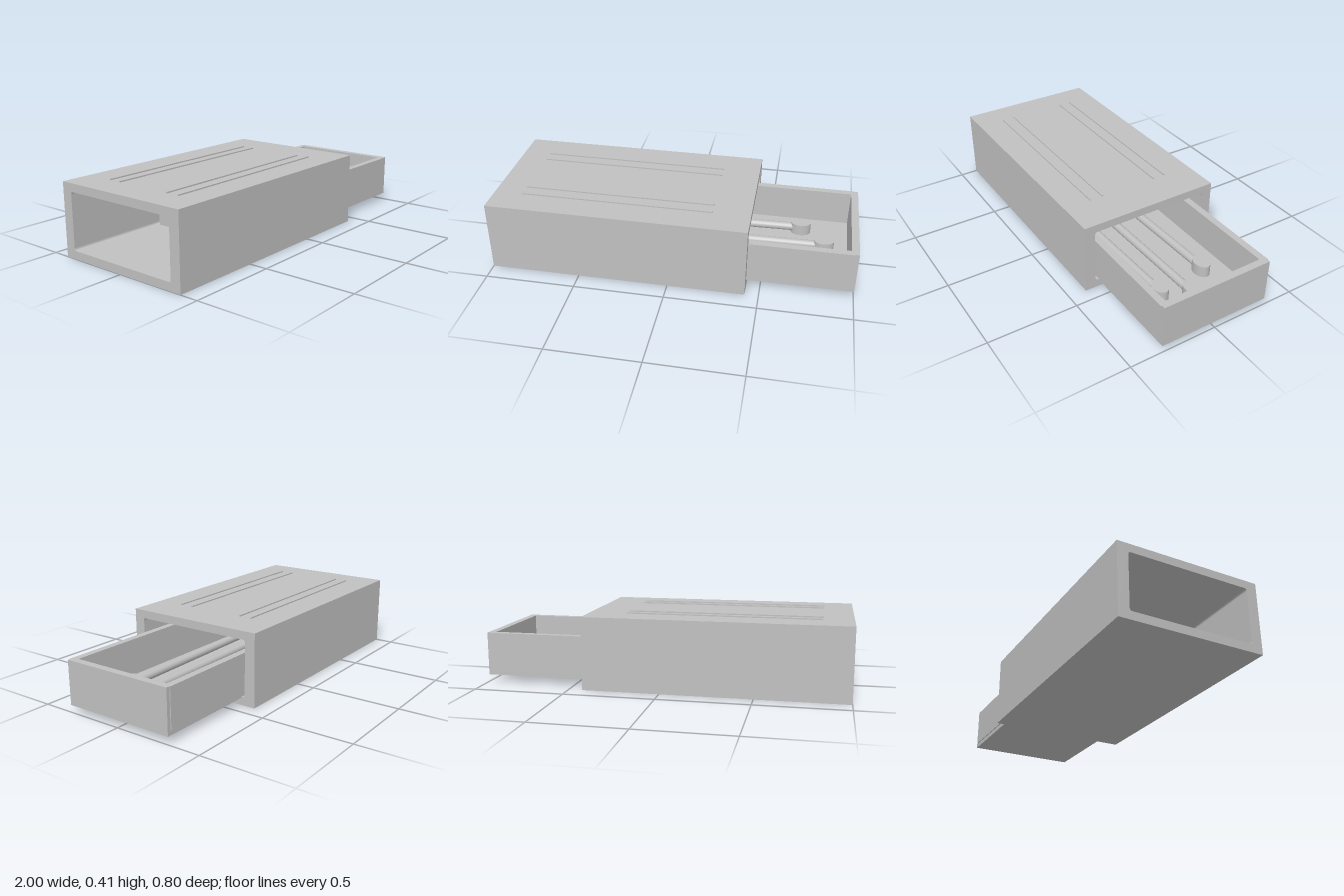
import * as THREE from 'three';

const grey = new THREE.MeshStandardMaterial({ color: 0xc0c0c0 });
grey.name = 'plain grey';

function add(parent, name, geometry, x = 0, y = 0, z = 0) {
  const mesh = new THREE.Mesh(geometry, grey);
  mesh.name = name;
  mesh.position.set(x, y, z);
  parent.add(mesh);
  return mesh;
}

// Rectangle outline with optional rounded corners
function rect(path, x0, y0, x1, y1, r = 0) {
  path.moveTo(x0 + r, y0);
  path.lineTo(x1 - r, y0);
  if (r) path.quadraticCurveTo(x1, y0, x1, y0 + r);
  path.lineTo(x1, y1 - r);
  if (r) path.quadraticCurveTo(x1, y1, x1 - r, y1);
  path.lineTo(x0 + r, y1);
  if (r) path.quadraticCurveTo(x0, y1, x0, y1 - r);
  path.lineTo(x0, y0 + r);
  if (r) path.quadraticCurveTo(x0, y0, x0 + r, y0);
  return path;
}

export function createModel() {
  const model = new THREE.Group();
  model.name = 'matchbox';

  // Sleeve, open at both ends
  const section = rect(new THREE.Shape(), -0.4, 0, 0.4, 0.4);
  section.holes.push(rect(new THREE.Path(), -0.34, 0.045, 0.34, 0.355, 0.015));
  const sleeve = new THREE.ExtrudeGeometry(section, { depth: 1.425, bevelEnabled: false, curveSegments: 6 });
  sleeve.rotateY(Math.PI / 2);
  add(model, 'sleeve', sleeve, -1, 0, 0);

  // Striking ridges on top of the sleeve
  for (const [z, w] of [[-0.232, 0.008], [-0.16, 0.008], [0.168, 0.01], [0.243, 0.008]]) {
    add(model, 'ridge', new THREE.BoxGeometry(1.06, 0.008, w), -0.31, 0.403, z);
  }

  // Sliding tray: floor, rim walls and slightly proud side panels
  const tray = new THREE.Group();
  tray.name = 'tray';
  model.add(tray);
  add(tray, 'trayFloor', new THREE.BoxGeometry(1.42, 0.04, 0.64), 0.29, 0.06, 0);
  const plan = rect(new THREE.Shape(), -0.42, -0.32, 1, 0.32);
  plan.holes.push(rect(new THREE.Path(), -0.38, -0.287, 0.96, 0.287));
  const walls = new THREE.ExtrudeGeometry(plan, { depth: 0.2, bevelEnabled: false });
  walls.rotateX(-Math.PI / 2);
  add(tray, 'trayWalls', walls, 0, 0.08, 0);
  for (const side of [-1, 1]) {
    add(tray, 'traySide', new THREE.BoxGeometry(1.38, 0.215, 0.006), 0.29, 0.1725, side * 0.322);
  }

  // Matches: round stick with an oval upright head
  for (const [x, z, turn] of [[0.69, -0.147, 0.03], [0.825, 0.018, 0.02], [0.735, 0.152, 0.025]]) {
    const match = new THREE.Group();
    match.name = 'match';
    match.position.set(x, 0.112, z);
    match.rotation.y = turn;
    model.add(match);
    const stick = new THREE.CylinderGeometry(0.023, 0.023, 1, 20);
    stick.rotateZ(Math.PI / 2);
    add(match, 'matchStick', stick, -0.5, 0, 0);
    const head = new THREE.CylinderGeometry(1, 1, 0.066, 28);
    head.scale(0.056, 1, 0.041);
    add(match, 'matchHead', head);
  }
  return model;
}
